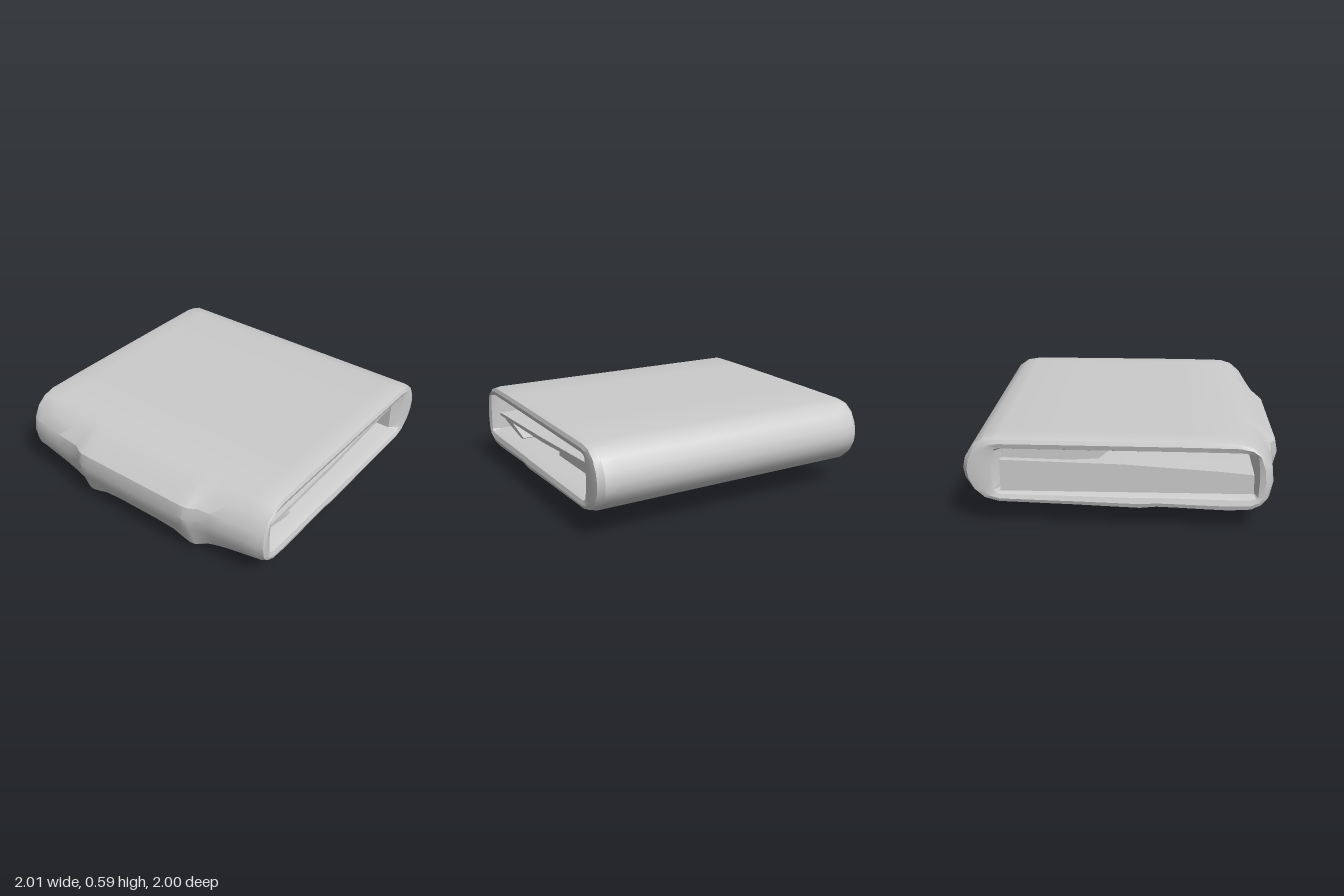
import * as THREE from 'three';
import { toCreasedNormals } from 'three/addons/utils/BufferGeometryUtils.js';

const { clamp, lerp, smoothstep } = THREE.MathUtils;
const material = new THREE.MeshStandardMaterial({ color: 0xcccccc, side: THREE.DoubleSide });

// Side profile of the folded shell as [z, y], running over the top, down the front,
// along the underside and up the back. Underside points also carry
// [drop at the two feet, drop in the middle].
const profile = [
  [-0.78, 0.59], [-0.4, 0.592], [0, 0.592], [0.4, 0.592], [0.7, 0.588], [0.78, 0.562],
  [0.85, 0.5], [0.895, 0.42], [0.91, 0.33], [0.89, 0.23],
  [0.85, 0.15, 0.08, 0.03], [0.78, 0.105, 0.105, -0.04], [0.65, 0.1, 0.09, -0.06],
  [0.5, 0.11, 0.075, -0.03], [0.35, 0.12, 0.065, 0.05], [0.2, 0.13, 0.05, 0.06],
  [0.1, 0.135, 0, 0.01], [-0.3, 0.15], [-0.78, 0.163],
  [-0.88, 0.19], [-0.95, 0.25], [-0.99, 0.32], [-1, 0.38], [-0.985, 0.45], [-0.94, 0.525], [-0.87, 0.575],
];

// Piecewise linear lookup
function ramp(table, x) {
  for (let i = 1; i < table.length; i++) {
    const [x0, y0] = table[i - 1], [x1, y1] = table[i];
    if (x <= x1) return lerp(y0, y1, (x - x0) / (x1 - x0));
  }
  return table[table.length - 1][1];
}
const footShape = [[0, 1], [0.48, 1], [0.56, 0.5], [0.72, 0.1], [1, -0.35]];
const bulgeShape = [[0, 1], [0.46, 1], [0.53, 0.55], [0.7, 0.35], [1, 0]];

// Cross-section at x; inward moves it from the outer skin (0) to the cavity wall (1)
function ring(x, inward) {
  const ax = Math.abs(x);
  return profile.map(([z, y, foot = 0, mid = 0]) => {
    const drop = ax > 0.48 ? foot * ramp(footShape, ax) : lerp(mid, foot, smoothstep(ax, 0.24, 0.47));
    const bulge = 0.09 * ramp(bulgeShape, ax) * clamp((z - 0.7) / 0.2, 0, 1) * clamp((0.58 - y) / 0.15, 0, 1);
    const pz = lerp(z + bulge, clamp(z, -0.76, 0.8), inward);
    const py = lerp(y - drop, clamp(y, 0.24, 0.5), inward);
    // the left and right edges are slightly skewed in plan
    const width = x < 0 ? 0.963 + 0.018 * (pz + 1) : 0.992 - 0.008 * (pz + 1);
    return [x * width, py, pz];
  });
}

function createShell() {
  const half = [0.96, 0.85, 0.72, 0.62, 0.53, 0.48, 0.44, 0.38, 0.3, 0.15];
  const outer = [...half.map(x => -x), 0, ...half.slice().reverse()];
  const rings = [
    ring(-1, 0.75), ring(-1.01, 0.4), ring(-1, 0.12),
    ...outer.map(x => ring(x, 0)),
    ring(1, 0.12), ring(1.01, 0.4), ring(1, 0.75), ring(0.94, 1), ring(-0.94, 1),
  ];
  const n = profile.length, m = rings.length, index = [];
  for (let i = 0; i < m; i++) {
    for (let j = 0; j < n; j++) {
      const k = (j + 1) % n, h = (i + 1) % m;
      const a = i * n + j, b = i * n + k, c = h * n + j, d = h * n + k;
      index.push(a, b, c, b, d, c);
    }
  }
  const geometry = new THREE.BufferGeometry();
  geometry.setAttribute('position', new THREE.Float32BufferAttribute(rings.flat(2), 3));
  geometry.setIndex(index);
  return toCreasedNormals(geometry, 0.5);
}

// Panel with a [z, y] outline, running across the model from x0 to x1
function createPanel(outline, x0, x1) {
  const shape = new THREE.Shape(outline.map(([z, y]) => new THREE.Vector2(-z, y)));
  return new THREE.ExtrudeGeometry(shape, { depth: x1 - x0, bevelEnabled: false })
    .rotateY(Math.PI / 2).translate(x0, 0, 0);
}

export function createModel() {
  const model = new THREE.Group();
  model.name = 'foldedWallet';
  const add = (name, geometry) => {
    const mesh = new THREE.Mesh(geometry, material);
    mesh.name = name;
    model.add(mesh);
  };

  add('outerShell', createShell());

  // Folded layers inside the open sides
  add('middleSheet', createPanel(
    [[0.8, 0.34], [0.8, 0.36], [0, 0.385], [-0.75, 0.42], [-0.75, 0.4], [0, 0.355]], -0.92, 0.92));
  add('upperPocket', createPanel(
    [[-0.08, 0.505], [-0.16, 0.44], [-0.75, 0.405], [-0.77, 0.505]], -0.9, 0.86));
  add('lowerPocket', createPanel(
    [[0.47, 0.235], [0.42, 0.32], [0, 0.345], [0, 0.235]], -0.9, 0.65));
  add('frontFold', createPanel(
    [[0.81, 0.35], [0.45, 0.25], [0.48, 0.235], [0.81, 0.3]], -0.9, 0.88));
  add('backFold', createPanel(
    [[0, 0.35], [-0.72, 0.26], [-0.76, 0.235], [0, 0.235]], -0.9, 0.8));
  // The right-hand opening is mostly filled by the stacked edges
  add('stackedEdge', createPanel(
    [[0.8, 0.36], [0.8, 0.235], [-0.77, 0.235], [-0.77, 0.44], [0, 0.42], [0.6, 0.38]], -0.945, -0.75));

  return model;
}
